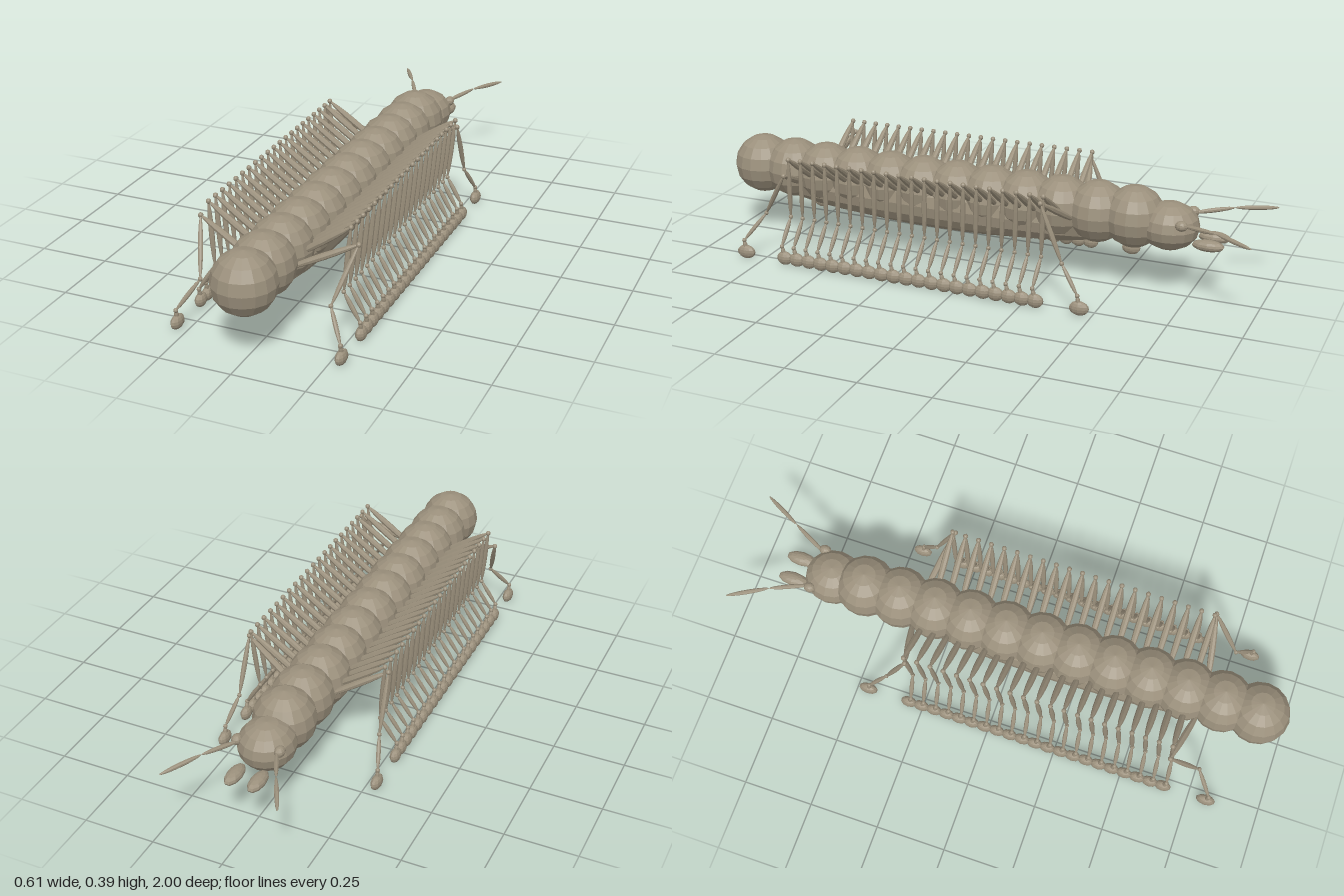
import * as THREE from 'three';

const shell = new THREE.MeshStandardMaterial({ color: 0x9b907c, flatShading: true });
shell.name = 'drab brown shell';

const bodyBall = new THREE.SphereGeometry(1, 16, 8);
const smallBall = new THREE.SphereGeometry(1, 10, 8);
const spindleBall = new THREE.SphereGeometry(1, 8, 8);
const UP = new THREE.Vector3(0, 1, 0);

// Stretched ball at a position
function ball(parent, name, pos, size, geometry = smallBall) {
  const m = new THREE.Mesh(geometry, shell);
  m.name = name;
  m.position.set(...pos);
  m.scale.set(...size);
  parent.add(m);
  return m;
}

// Slim ellipsoid reaching from a to b
function spindle(parent, name, a, b, r) {
  const p = new THREE.Vector3(...a), q = new THREE.Vector3(...b);
  const d = q.clone().sub(p);
  const mid = p.clone().add(q).multiplyScalar(0.5);
  const m = ball(parent, name, mid.toArray(), [r, d.length() / 2, r], spindleBall);
  m.quaternion.setFromUnitVectors(UP, d.normalize());
}

// Jointed leg: hip, knee, shin joint, ankle and padded foot
function leg(parent, side, name, points, footZ, footLength) {
  const g = new THREE.Group();
  g.name = name;
  const [hip, knee, joint, ankle] = points.map(([x, y, z]) => [x * side, y, z]);
  spindle(g, 'thigh', hip, knee, 0.012);
  spindle(g, 'shin', knee, joint, 0.009);
  spindle(g, 'lowerLeg', joint, ankle, 0.008);
  spindle(g, 'ankleStem', ankle, [ankle[0], 0.03, footZ], 0.008);
  ball(g, 'kneeJoint', knee, [0.009, 0.009, 0.009], spindleBall);
  ball(g, 'shinJoint', joint, [0.008, 0.008, 0.008], spindleBall);
  ball(g, 'ankleJoint', ankle, [0.008, 0.008, 0.008], spindleBall);
  ball(g, 'foot', [ankle[0], 0.028, footZ], [0.018, 0.025, footLength]);
  parent.add(g);
}

export function createModel() {
  const model = new THREE.Group();
  model.name = 'manyLeggedCrawler';

  // Row of round body segments
  for (let i = 0; i < 12; i++) {
    ball(model, 'bodySegment', [0, 0.268, 0.89 - i * 0.131], [0.108, 0.108, 0.108], bodyBall);
  }

  // Long belly under the segments
  ball(model, 'belly', [0, 0.222, 0.17], [0.1, 0.102, 0.74], bodyBall);

  // Head
  ball(model, 'head', [0, 0.253, -0.675], [0.097, 0.083, 0.103], bodyBall);

  for (const side of [1, -1]) {
    // Eyes, jaws and feelers
    ball(model, 'eye', [0.076 * side, 0.285, -0.735], [0.018, 0.018, 0.022]);
    ball(model, 'jaw', [0.041 * side, 0.216, -0.82], [0.026, 0.02, 0.056]);
    const bend = [0.13 * side, 0.298, -0.865];
    spindle(model, 'feelerBase', [0.065 * side, 0.283, -0.735], bend, 0.008);
    spindle(model, 'feelerTip', bend, [0.203 * side, 0.292, -1.0], 0.008);

    // Evenly spaced walking legs
    for (let i = 0; i <= 20; i++) {
      const z = 0.645 - i * 0.0478;
      leg(model, side, 'walkingLeg', [
        [0.05, 0.25, z], [0.247, 0.387, z], [0.227, 0.165, z + 0.012], [0.286, 0.071, z + 0.02],
      ], z + 0.01, 0.03);
    }

    // Splayed legs at both ends
    leg(model, side, 'frontLeg', [
      [0.05, 0.24, -0.355], [0.257, 0.365, -0.305], [0.262, 0.167, -0.385], [0.286, 0.071, -0.45],
    ], -0.457, 0.035);
    leg(model, side, 'rearLeg', [
      [0.05, 0.23, 0.695], [0.275, 0.335, 0.65], [0.227, 0.165, 0.757], [0.286, 0.071, 0.82],
    ], 0.813, 0.035);
  }
  return model;
}
